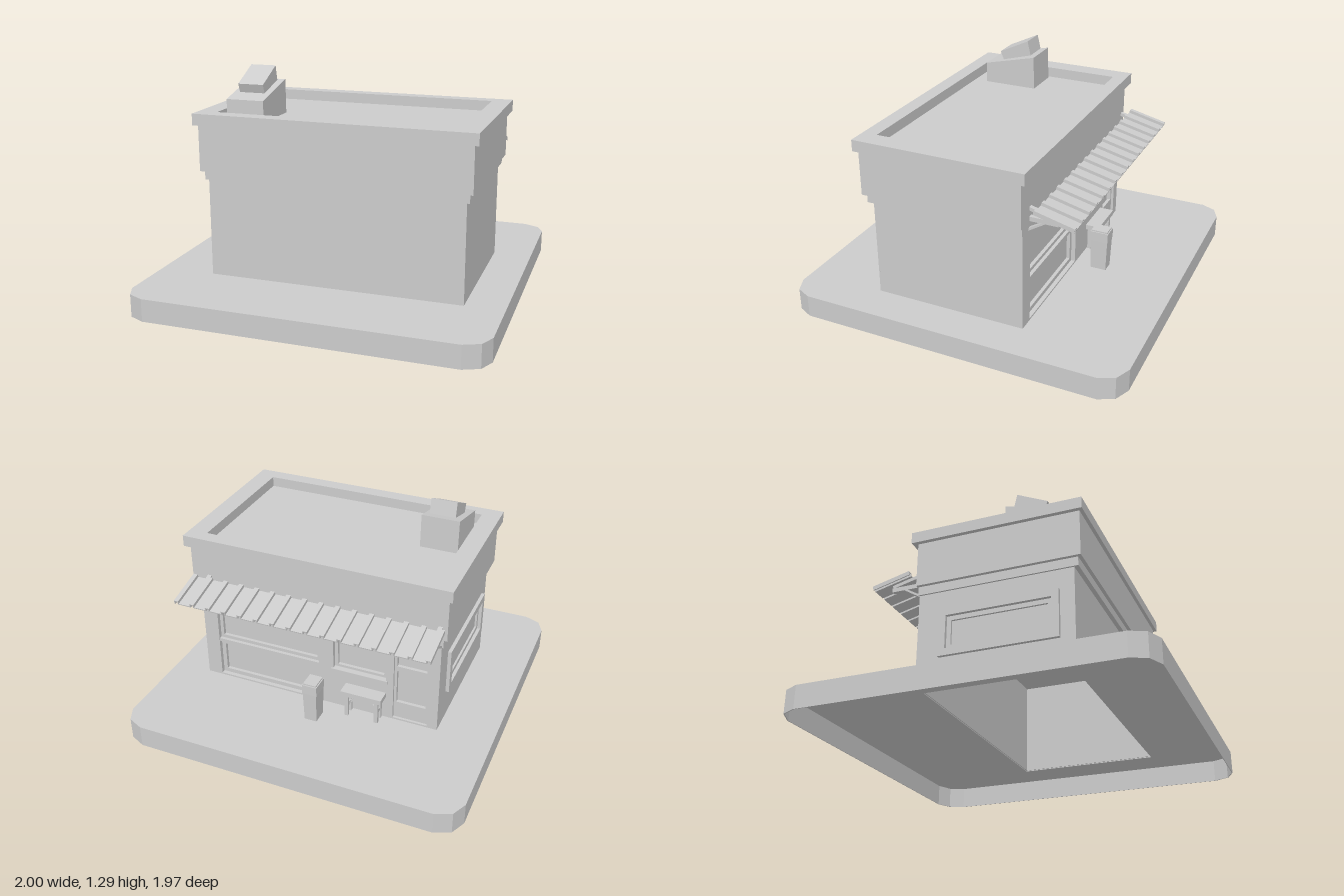
import * as THREE from 'three';

const mat = new THREE.MeshStandardMaterial({ color: 0xcccccc, flatShading: true, side: THREE.DoubleSide });

export function createModel() {
  const model = new THREE.Group();

  const add = (name, geo, parent = model) => {
    const m = new THREE.Mesh(geo, mat);
    m.name = name;
    parent.add(m);
    return m;
  };
  const group = (name) => {
    const g = new THREE.Group();
    g.name = name;
    model.add(g);
    return g;
  };
  // Box from its minimum and maximum corners
  const box = (name, x0, x1, y0, y1, z0, z1, parent) =>
    add(name, new THREE.BoxGeometry(x1 - x0, y1 - y0, z1 - z0)
      .translate((x0 + x1) / 2, (y0 + y1) / 2, (z0 + z1) / 2), parent);
  const poly = (pts) => new THREE.Shape(pts.map(([a, b]) => new THREE.Vector2(a, b)));
  const rect = (a0, a1, b0, b1) => poly([[a0, b0], [a1, b0], [a1, b1], [a0, b1]]);
  const extrude = (shape, depth, holes = []) => {
    shape.holes.push(...holes);
    return new THREE.ExtrudeGeometry(shape, { depth, bevelEnabled: false });
  };
  // Shape in (z, y) extruded from x0 to x1
  const extrudeX = (shape, x0, x1, holes) =>
    extrude(shape, x1 - x0, holes).rotateY(-Math.PI / 2).translate(x1, 0, 0);
  // Shape in (x, z) extruded from y0 to y1
  const extrudeY = (shape, y0, y1, holes) =>
    extrude(shape, y1 - y0, holes).rotateX(Math.PI / 2).translate(0, y1, 0);

  // Ground slab: open underneath, with an opening below the building
  const corner = [[1, 0.86], [0.96, 0.945], [0.87, 0.985]];
  const outline = [];
  for (const [sx, sz] of [[1, 1], [-1, 1], [-1, -1], [1, -1]]) {
    const c = corner.map(([x, z]) => [x * sx, z * sz]);
    outline.push(...(sx * sz > 0 ? c : c.reverse()));
  }
  const inner = outline.map(([x, z]) => [x * 0.996, z * 0.996]);
  add('slabRim', extrudeY(poly(outline), 0, 0.13, [poly(inner)]));
  add('slabTop', extrudeY(poly(inner), 0.125, 0.13, [rect(-0.675, 0.775, -0.31, 0.515)]));

  // Walls
  box('frontWall', -0.68, 0.78, 0.13, 0.7, 0.51, 0.52);
  box('leftWall', 0.77, 0.78, 0.13, 0.7, -0.36, 0.52);
  add('rightWall', extrudeX(rect(-0.36, 0.52, 0.13, 0.7), -0.68, -0.67,
    [rect(-0.19, 0.4, 0.35, 0.54)]));
  add('shopfrontWall', extrude(rect(-0.68, 0.78, 0.13, 0.7), 0.05, [
    rect(0.04, 0.69, 0.14, 0.67),
    rect(-0.37, -0.05, 0.38, 0.67),
    rect(-0.62, -0.415, 0.14, 0.67),
  ]).translate(0, 0, -0.36));
  box('shopfrontBacking', -0.67, 0.77, 0.13, 0.7, -0.315, -0.305);

  // Side window
  const sideWindow = group('sideWindow');
  add('sideWindowFrame', extrudeX(rect(-0.23, 0.44, 0.31, 0.58), -0.7, -0.68,
    [rect(-0.19, 0.4, 0.35, 0.54)]), sideWindow);
  add('sideWindowSash', extrudeX(rect(-0.19, 0.4, 0.35, 0.54), -0.68, -0.665,
    [rect(-0.165, 0.375, 0.375, 0.515)]), sideWindow);
  box('sideWindowGlass', -0.668, -0.665, 0.37, 0.52, -0.17, 0.38, sideWindow);

  // Shop window with a panelled base, serving window and door
  const shopfront = group('shopfront');
  const frame = (name, x0, x1, y0, y1, w, z) => add(name,
    extrude(rect(x0, x1, y0, y1), 0.02, [rect(x0 + w, x1 - w, y0 + w, y1 - w)])
      .translate(0, 0, z), shopfront);
  frame('shopWindowFrame', 0.04, 0.69, 0.39, 0.67, 0.02, -0.335);
  box('shopWindowSill', 0.04, 0.69, 0.37, 0.39, -0.355, -0.315, shopfront);
  frame('shopWindowBase', 0.04, 0.69, 0.14, 0.37, 0.025, -0.335);
  frame('servingWindowFrame', -0.37, -0.05, 0.38, 0.67, 0.02, -0.335);
  box('servingWindowSill', -0.38, -0.04, 0.365, 0.385, -0.37, -0.32, shopfront);
  frame('doorLowerPanel', -0.62, -0.415, 0.23, 0.475, 0.015, -0.345);
  frame('doorUpperPanel', -0.62, -0.415, 0.475, 0.66, 0.015, -0.345);
  box('doorKickBoard', -0.62, -0.415, 0.14, 0.23, -0.345, -0.325, shopfront);

  // Upper storey, cornice and roof
  box('band', -0.69, 0.8, 0.695, 0.745, -0.365, 0.545);
  box('upperWall', -0.71, 0.82, 0.745, 1.01, -0.37, 0.565);
  add('cornice', extrudeY(rect(-0.735, 0.845, -0.4, 0.585), 1.005, 1.07,
    [rect(-0.625, 0.735, -0.32, 0.5)]));

  // Roof vent
  add('ventBase', extrudeX(poly([[0.42, 1.01], [0.42, 1.13], [0.105, 1.205], [0.1, 1.01]]), -0.605, -0.385));
  add('ventCap', extrudeX(poly([[0.34, 1.205], [0.16, 1.29], [0.14, 1.205], [0.32, 1.155]]), -0.57, -0.42));

  // Corrugated awning: sixteen ridges on one folded sheet
  const top = [], bottom = [], t = 0.006, h = 0.024, n = 16;
  for (let i = 0; i < n; i++) {
    const a = -0.708 + i * 0.0977, b = a + 0.027;
    top.push([a, i ? t : 0], [a, h], [b, h], [b, i < n - 1 ? t : 0]);
    bottom.push([a + t, 0], [a + t, h - t], [b - t, h - t], [b - t, 0]);
  }
  const awning = group('awning');
  const sheet = add('awningSheet', extrude(poly([...top, ...bottom.reverse()]), 0.227), awning);
  sheet.rotation.x = -0.24;
  sheet.position.set(0, 0.772, -0.636);

  // Awning brackets
  for (const x of [-0.67, 0.71]) {
    const part = (name, pts) => add(name, extrudeX(poly(pts), x - 0.012, x + 0.012), awning);
    part('bracketRafter', [[-0.36, 0.832], [-0.53, 0.79], [-0.525, 0.772], [-0.36, 0.812]]);
    part('bracketArm', [[-0.36, 0.775], [-0.53, 0.775], [-0.53, 0.75], [-0.36, 0.75]]);
    part('bracketBrace', [[-0.36, 0.69], [-0.36, 0.705], [-0.44, 0.752], [-0.46, 0.752]]);
  }

  // Bench
  const bench = group('bench');
  box('benchSeat', -0.372, -0.128, 0.27, 0.3, -0.445, -0.36, bench);
  for (const s of [-1, 1]) {
    const x = -0.25 + s * 0.09;
    for (const z of [-0.425, -0.375])
      box('benchLeg', x - 0.011, x + 0.011, 0.13, 0.27, z - 0.01, z + 0.01, bench);
    box('benchSideRail', x - 0.008, x + 0.008, 0.19, 0.21, -0.42, -0.38, bench);
    add('benchBrace', extrude(poly([[x, 0.19], [x, 0.21], [-0.25 + s * 0.01, 0.27], [-0.25 + s * 0.035, 0.27]]), 0.015)
      .translate(0, 0, -0.408), bench);
  }

  // Litter bin: tapered body with a lid
  const bin = group('litterBin');
  const body = new THREE.CylinderGeometry(0.5, 0.44, 0.19, 4, 1).rotateY(Math.PI / 4);
  const k = Math.SQRT2;
  add('binBody', body.scale(0.083 * k, 1, 0.103 * k).translate(0.01, 0.225, -0.508), bin);
  box('binLid', -0.034, 0.054, 0.315, 0.372, -0.562, -0.455, bin);
  box('binTop', -0.028, 0.048, 0.372, 0.38, -0.556, -0.461, bin);

  return model;
}
